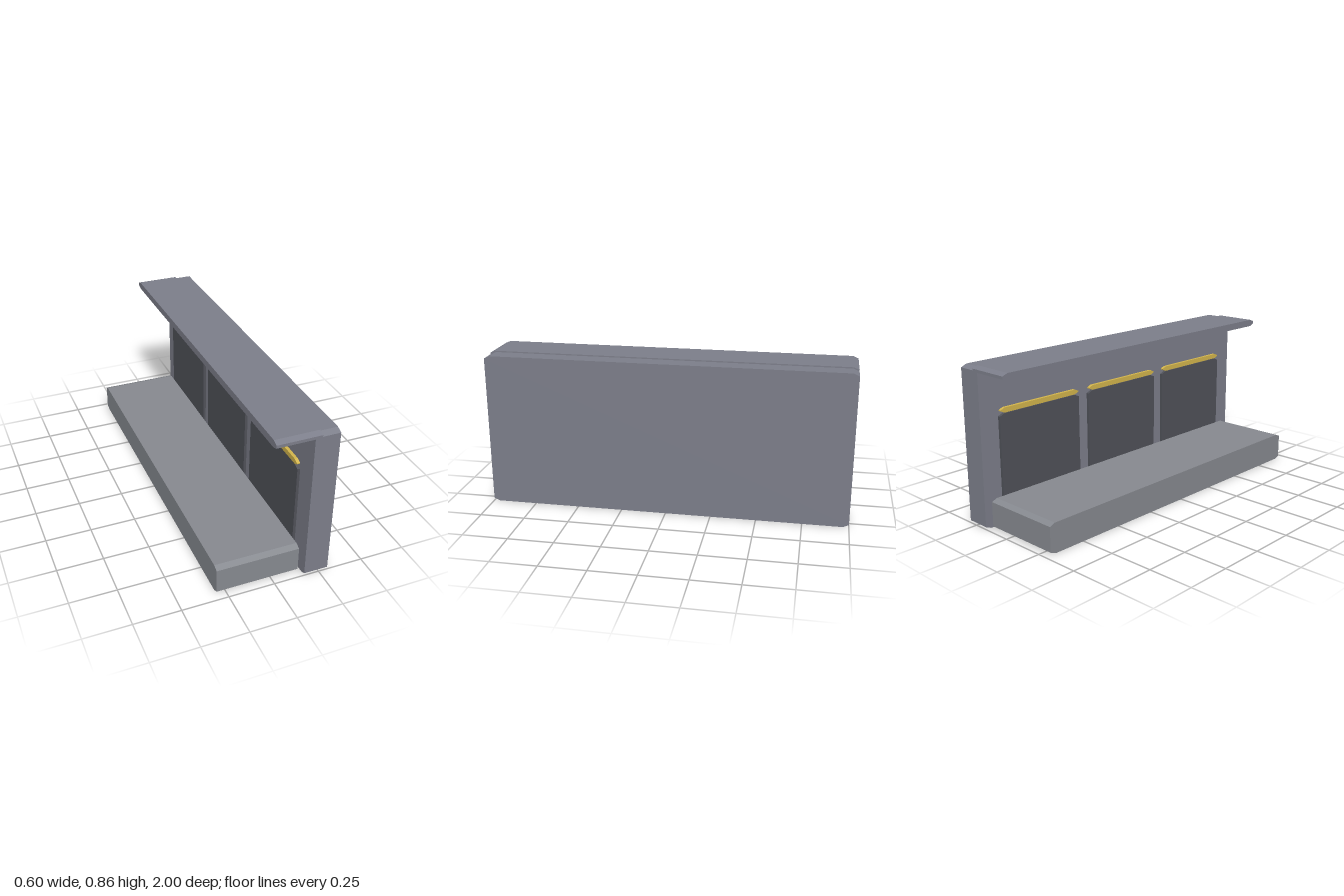
import * as THREE from 'three';

// Slab with cut corners in the z-y outline, extruded along x from x0 to x1
function slab(name, color, [x0, x1], [y0, y1], [z0, z1], cutZ, cutY) {
  const s = new THREE.Shape();
  // shape x becomes -z after the quarter turn about y
  const a = -z1, b = -z0;
  s.moveTo(a + cutZ, y0);
  s.lineTo(b - cutZ, y0);
  s.lineTo(b, y0 + cutY);
  s.lineTo(b, y1 - cutY);
  s.lineTo(b - cutZ, y1);
  s.lineTo(a + cutZ, y1);
  s.lineTo(a, y1 - cutY);
  s.lineTo(a, y0 + cutY);
  s.closePath();
  const geo = new THREE.ExtrudeGeometry(s, { depth: x1 - x0, bevelEnabled: false });
  geo.rotateY(Math.PI / 2);
  geo.translate(x0, 0, 0);
  const mesh = new THREE.Mesh(geo, new THREE.MeshStandardMaterial({ color, flatShading: true }));
  mesh.name = name;
  return mesh;
}

export function createModel() {
  const group = new THREE.Group();
  group.name = 'counter';
  const wallGrey = 0x7c7e8a, baseGrey = 0x86898f, panelGrey = 0x4f5158, gold = 0xd2b44c;

  // Upright wall, overhanging top and low step
  group.add(slab('wall', wallGrey, [0.167, 0.299], [0, 0.853], [-1, 1], 0.032, 0.014));
  group.add(slab('topShelf', wallGrey, [-0.033, 0.204], [0.82, 0.86], [-1, 1], 0.03, 0.012));
  group.add(slab('step', baseGrey, [-0.3, 0.151], [0, 0.161], [-0.966, 0.957], 0.032, 0.013));

  // Three inset panels, each with a gold trim bar above
  for (let i = -1; i <= 1; i++) {
    const z = i * 0.613 - 0.005;
    group.add(slab('panel', panelGrey, [0.152, 0.168], [0.042, 0.6], [z - 0.27, z + 0.27], 0.03, 0.013));
    group.add(slab('trimBar', gold, [0.15, 0.168], [0.603, 0.63], [z - 0.265, z + 0.265], 0.025, 0.011));
  }
  return group;
}
